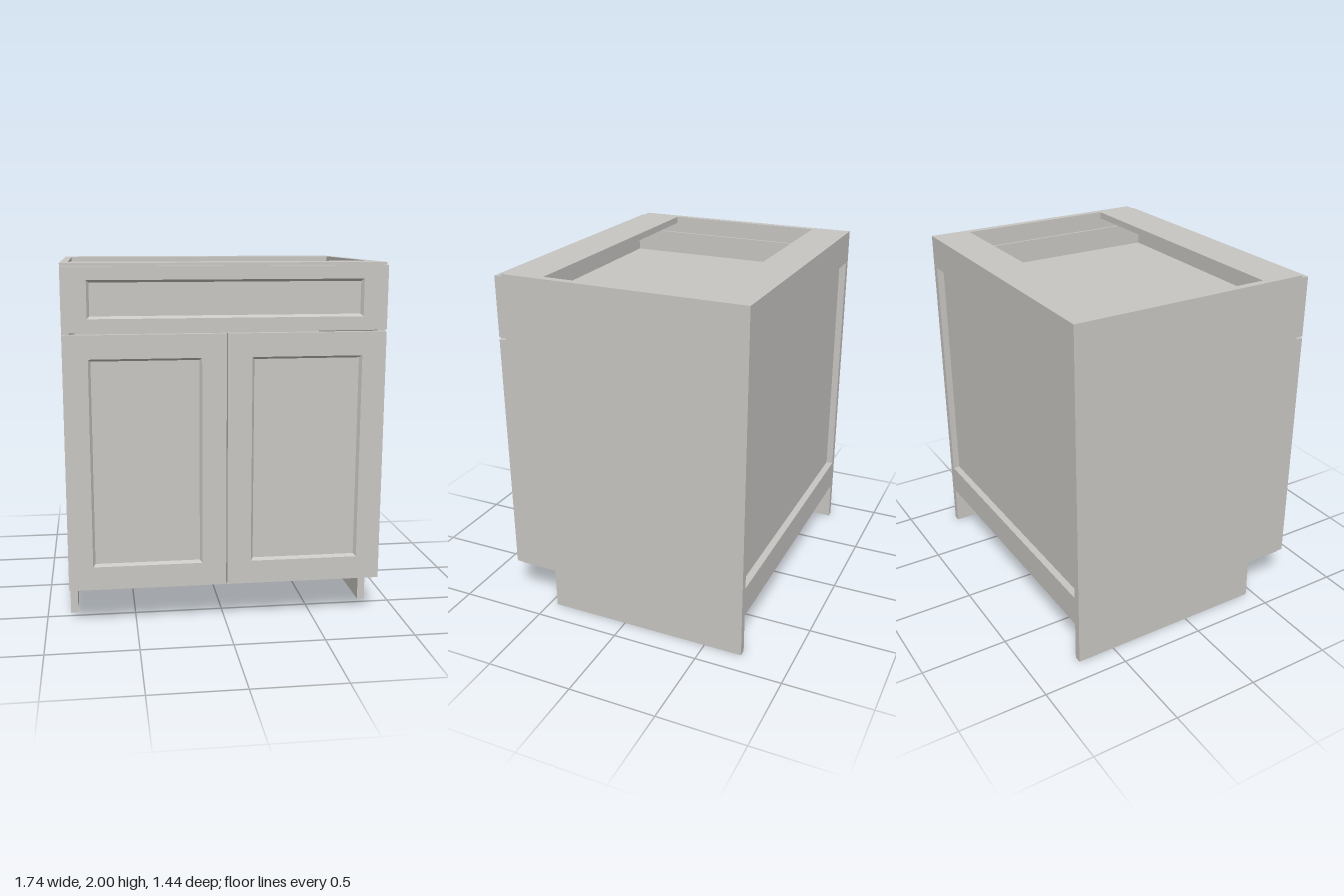
import * as THREE from 'three';

export function createModel() {
  const root = new THREE.Group();
  root.name = 'baseCabinet';
  const paint = new THREE.MeshStandardMaterial({ color: 0xc8c6c2 });
  paint.name = 'warmGreyPaint';

  function add(name, geometry) {
    const mesh = new THREE.Mesh(geometry, paint);
    mesh.name = name;
    root.add(mesh);
    return mesh;
  }

  // Box given by its extents on each axis
  function box(name, x0, x1, y0, y1, z0, z1) {
    const g = new THREE.BoxGeometry(x1 - x0, y1 - y0, z1 - z0);
    g.translate((x0 + x1) / 2, (y0 + y1) / 2, (z0 + z1) / 2);
    return add(name, g);
  }

  // Framed front with a bevelled recess, built from nested rectangular loops
  function framedFront(name, outer, inner, zBack, zFront) {
    const bevel = 0.013, depth = 0.02;
    const [a, b, c, d] = inner;
    const loops = [
      [outer, zBack], [outer, zFront], [inner, zFront],
      [[a + bevel, b - bevel, c + bevel, d - bevel], zFront - depth],
    ];
    const pos = [], idx = [];
    for (const [[x0, x1, y0, y1], z] of loops) {
      pos.push(x0, y0, z, x1, y0, z, x1, y1, z, x0, y1, z);
    }
    for (let l = 0; l < loops.length - 1; l++) {
      for (let i = 0; i < 4; i++) {
        const p = l * 4 + i, q = l * 4 + (i + 1) % 4;
        idx.push(p, q, q + 4, p, q + 4, p + 4);
      }
    }
    const e = (loops.length - 1) * 4;
    idx.push(e, e + 1, e + 2, e, e + 2, e + 3); // centre panel
    idx.push(0, 2, 1, 0, 3, 2); // rear face
    const g = new THREE.BufferGeometry();
    g.setAttribute('position', new THREE.Float32BufferAttribute(pos, 3));
    g.setIndex(idx);
    const flat = g.toNonIndexed();
    flat.computeVertexNormals();
    return add(name, flat);
  }

  const W = 0.87, IN = 0.828, BACK = -0.72, FRONT = 0.676, FACE = 0.72, FLOOR = 0.235;

  // Side panels with a toe notch
  const side = new THREE.Shape();
  side.moveTo(-BACK, 0);
  side.lineTo(-BACK, 2);
  side.lineTo(-FRONT, 2);
  side.lineTo(-FRONT, FLOOR);
  side.lineTo(-0.455, FLOOR);
  side.lineTo(-0.455, 0);
  for (const [name, x] of [['leftSide', IN], ['rightSide', -W]]) {
    const g = new THREE.ExtrudeGeometry(side, { depth: W - IN, bevelEnabled: false });
    g.rotateY(Math.PI / 2);
    g.translate(x, 0, 0);
    add(name, g);
  }

  // Carcass floor, top stretchers, rear rails and recessed back
  box('cabinetFloor', -IN, IN, FLOOR, FLOOR + 0.04, BACK, FRONT);
  box('frontStretcher', -IN, IN, 1.96, 2, 0.44, FRONT);
  box('backStretcher', -IN, IN, 1.96, 2, BACK, -0.49);
  box('upperBackRail', -IN, IN, 1.81, 1.96, BACK, -0.68);
  box('lowerBackRail', -IN, IN, FLOOR + 0.04, 0.41, BACK, -0.68);
  box('backPanel', -IN, IN, FLOOR + 0.04, 1.96, -0.68, -0.655);

  // Drawer box
  const D = 0.742, T = 0.013;
  box('drawerBottom', -D + T, D - T, 1.77, 1.785, -0.53, FRONT);
  box('drawerBack', -D, D, 1.77, 1.92, -0.543, -0.53);
  for (const s of [-1, 1]) {
    const x0 = s > 0 ? D - T : -D;
    box(s > 0 ? 'drawerLeftSide' : 'drawerRightSide', x0, x0 + T, 1.77, 1.92, -0.53, FRONT);
  }

  // Drawer front and the pair of doors
  const E = 0.866;
  framedFront('drawerFront', [-E, E, 1.642, 1.985], [-0.735, 0.735, 1.715, 1.915], FRONT, FACE);
  framedFront('leftDoor', [0.003, E, FLOOR, 1.632], [0.135, 0.735, 0.365, 1.505], FRONT, FACE);
  framedFront('rightDoor', [-E, -0.003, FLOOR, 1.632], [-0.735, -0.135, 0.365, 1.505], FRONT, FACE);

  return root;
}
